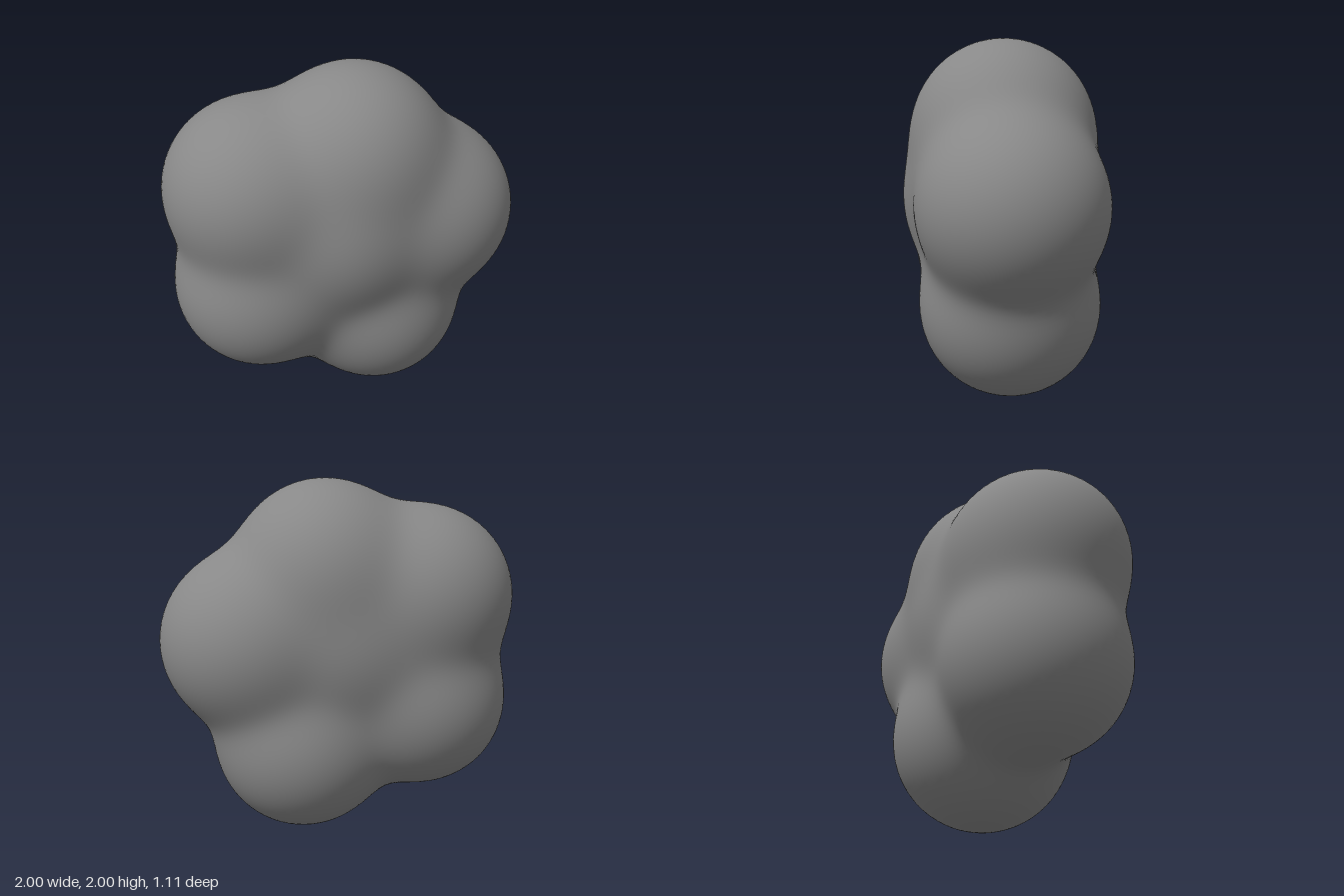
import * as THREE from 'three';

// Five round lobes in a ring, then a front and a back core: x, y, z, radius
const LOBES = [
  [0.07, 1.485, -0.015, 0.51],
  [0.485, 1.10, -0.03, 0.515],
  [0.20, 0.505, -0.04, 0.505],
  [-0.475, 0.725, -0.035, 0.50],
  [-0.49, 1.335, -0.03, 0.51],
  [-0.03, 1.08, 0.06, 0.465],
  [-0.05, 1.08, -0.06, 0.46],
];
const BLEND = 0.075;

// Distance to the smoothly blended lobes
function distance(x, y, z) {
  let sum = 0;
  for (const [cx, cy, cz, r] of LOBES) {
    sum += Math.exp((r - Math.hypot(x - cx, y - cy, z - cz)) / BLEND);
  }
  return -BLEND * Math.log(sum);
}

export function createModel() {
  const group = new THREE.Group();
  group.name = 'lobedBlob';

  // Push each vertex of a ball outwards until it meets the blended surface
  const geometry = new THREE.IcosahedronGeometry(1, 28);
  const position = geometry.attributes.position;
  const normal = geometry.attributes.normal;
  const center = new THREE.Vector3(0, 1.04, 0);
  const dir = new THREE.Vector3();
  const p = new THREE.Vector3();
  const e = 0.001;
  for (let i = 0; i < position.count; i++) {
    dir.fromBufferAttribute(position, i).normalize();
    let near = 0.2;
    let far = 1.4;
    for (let step = 0; step < 22; step++) {
      const mid = (near + far) / 2;
      p.copy(center).addScaledVector(dir, mid);
      if (distance(p.x, p.y, p.z) < 0) near = mid;
      else far = mid;
    }
    position.setXYZ(i, p.x, p.y, p.z);

    // Smooth normal from the slope of the distance
    dir.set(
      distance(p.x + e, p.y, p.z) - distance(p.x - e, p.y, p.z),
      distance(p.x, p.y + e, p.z) - distance(p.x, p.y - e, p.z),
      distance(p.x, p.y, p.z + e) - distance(p.x, p.y, p.z - e),
    ).normalize();
    normal.setXYZ(i, dir.x, dir.y, dir.z);
  }

  const body = new THREE.Mesh(geometry, new THREE.MeshStandardMaterial({ color: 0x888888 }));
  body.name = 'body';
  group.add(body);
  return group;
}
